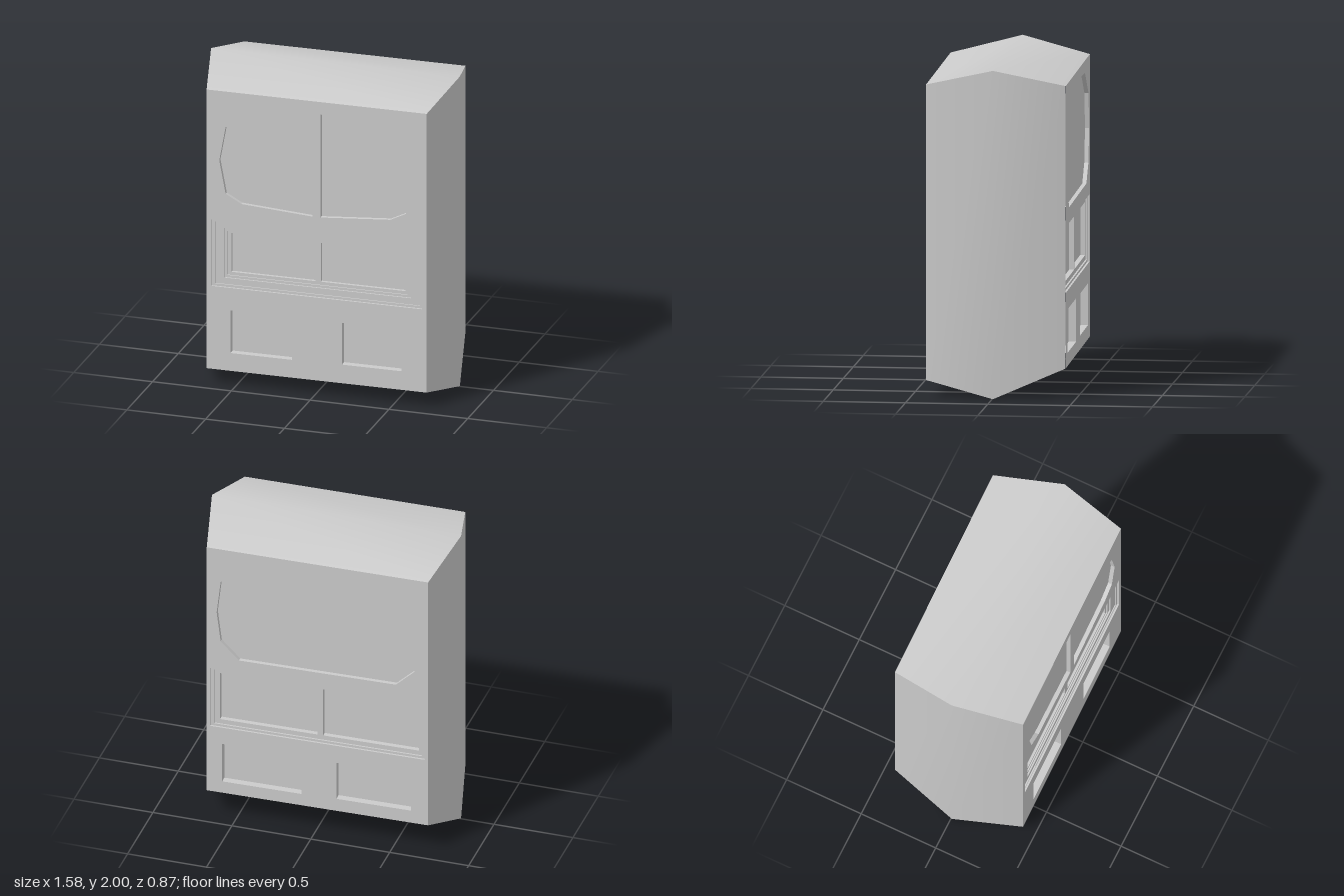
import * as THREE from 'three';
import { toCreasedNormals } from 'three/addons/utils/BufferGeometryUtils.js';

const material = new THREE.MeshStandardMaterial({ color: 0xcccccc });

const rect = (x0, x1, y0, y1) => [[x0, y0], [x1, y0], [x1, y1], [x0, y1]];
const recess = (name, points, depth, inside = []) => ({ name, points, depth, inside });

function addMesh(parent, name, geometry) {
  const mesh = new THREE.Mesh(geometry, material);
  mesh.name = name;
  parent.add(mesh);
}

// Flat panel pierced by its recesses; each recess gets walls and a sunken floor.
function addPanel(parent, name, points, z, recesses) {
  const toVectors = (list) => list.map(([x, y]) => new THREE.Vector2(x, y));
  const shape = new THREE.Shape(toVectors(points));
  shape.holes = recesses.map((r) => new THREE.Path(toVectors(r.points)));
  addMesh(parent, name, new THREE.ShapeGeometry(shape).translate(0, 0, z));

  for (const r of recesses) {
    const loop = toVectors(r.points);
    if (THREE.ShapeUtils.isClockWise(loop)) loop.reverse();
    const floor = z - r.depth;
    const wall = [];
    loop.forEach((a, i) => {
      const b = loop[(i + 1) % loop.length];
      wall.push(a.x, a.y, z, b.x, b.y, z, b.x, b.y, floor);
      wall.push(a.x, a.y, z, b.x, b.y, floor, a.x, a.y, floor);
    });
    const geometry = new THREE.BufferGeometry();
    geometry.setAttribute('position', new THREE.Float32BufferAttribute(wall, 3));
    geometry.computeVertexNormals();
    addMesh(parent, r.name + 'Walls', geometry);
    addPanel(parent, r.name + 'Floor', r.points, floor, r.inside);
  }
}

// Shell swept from the front section over the wide middle to the back section.
function shellGeometry() {
  // left and right corners as [x, z], then bottom and top heights
  const sections = [
    { l: [-0.68, 0.43], r: [0.71, 0.41], y0: 0.1, y1: 1.9 },
    { l: [-0.79, 0.005], r: [0.785, -0.005], y0: 0, y1: 2 },
    { l: [-0.715, -0.412], r: [0.68, -0.435], y0: 0.18, y1: 1.9 },
  ];
  const positions = [];
  const index = [];
  for (const { l, r, y0, y1 } of sections) {
    positions.push(l[0], y0, l[1], r[0], y0, r[1], r[0], y1, r[1], l[0], y1, l[1]);
  }
  for (let s = 0; s < sections.length - 1; s++) {
    for (let i = 0; i < 4; i++) {
      const a = s * 4 + i;
      const b = s * 4 + ((i + 1) % 4);
      index.push(a, a + 4, b + 4, a, b + 4, b);
    }
  }
  const geometry = new THREE.BufferGeometry();
  geometry.setAttribute('position', new THREE.Float32BufferAttribute(positions, 3));
  geometry.setIndex(index);
  return toCreasedNormals(geometry, 0.75);
}

export function createModel() {
  const model = new THREE.Group();
  model.name = 'cabinet';
  addMesh(model, 'outerShell', shellGeometry());

  // Front: split window, stepped frame with two panes, two pockets
  const front = new THREE.Group();
  front.name = 'frontFace';
  front.position.set(0.015, 0, 0.42);
  front.rotation.y = 0.0144;
  model.add(front);
  const leftPane = [[-0.025, 1.825], [-0.43, 1.78], [-0.575, 1.67], [-0.615, 1.45],
    [-0.575, 1.24], [-0.475, 1.185], [-0.025, 1.155]];
  const rightPane = [[0.025, 1.82], [0.45, 1.77], [0.565, 1.675], [0.605, 1.45],
    [0.565, 1.24], [0.465, 1.19], [0.025, 1.155]];
  addPanel(front, 'frontPanel', rect(-0.695, 0.695, 0.1, 1.9), 0, [
    recess('upperWindowRight', rightPane, 0.025),
    recess('upperWindowLeft', leftPane, 0.025),
    recess('frameOuterStep', rect(-0.665, 0.665, 0.635, 1.065), 0.012, [
      recess('frameInnerStep', rect(-0.645, 0.65, 0.65, 1.05), 0.008, [
        recess('trimOuterStep', rect(-0.59, 0.59, 0.69, 1.01), 0.01, [
          recess('trimInnerStep', rect(-0.575, 0.565, 0.705, 0.99), 0.008, [
            recess('middlePaneRight', rect(-0.55, -0.02, 0.725, 0.975), 0.02),
            recess('middlePaneLeft', rect(0.015, 0.55, 0.725, 0.975), 0.02),
          ]),
        ]),
      ]),
    ]),
    recess('lowerPocketRight', rect(-0.545, -0.155, 0.215, 0.49), 0.045),
    recess('lowerPocketLeft', rect(0.16, 0.535, 0.22, 0.49), 0.045),
  ]);

  // Back: one wide window, shallow frame with two panes, two pockets
  const back = new THREE.Group();
  back.name = 'backFace';
  back.position.set(-0.0175, 0, -0.4235);
  back.rotation.y = Math.PI + 0.0165;
  model.add(back);
  const wideWindow = [[-0.454, 1.826], [-0.61, 1.67], [-0.635, 1.45], [-0.61, 1.25], [-0.494, 1.135],
    [0.494, 1.14], [0.61, 1.25], [0.65, 1.455], [0.615, 1.675], [0.41, 1.827], [0, 1.84]];
  addPanel(back, 'backPanel', rect(-0.6975, 0.6975, 0.18, 1.9), 0, [
    recess('backWindow', wideWindow, 0.025),
    recess('backFrameOuterStep', rect(-0.675, 0.675, 0.64, 1.05), 0.012, [
      recess('backFrameInnerStep', rect(-0.655, 0.655, 0.655, 1.035), 0.01, [
        recess('backPaneLeft', rect(-0.62, -0.005, 0.685, 1.01), 0.03),
        recess('backPaneRight', rect(0.03, 0.635, 0.685, 1.01), 0.03),
      ]),
    ]),
    recess('backPocketLeft', rect(-0.6, -0.1, 0.26, 0.525), 0.045),
    recess('backPocketRight', rect(0.12, 0.59, 0.265, 0.52), 0.045),
  ]);

  return model;
}
